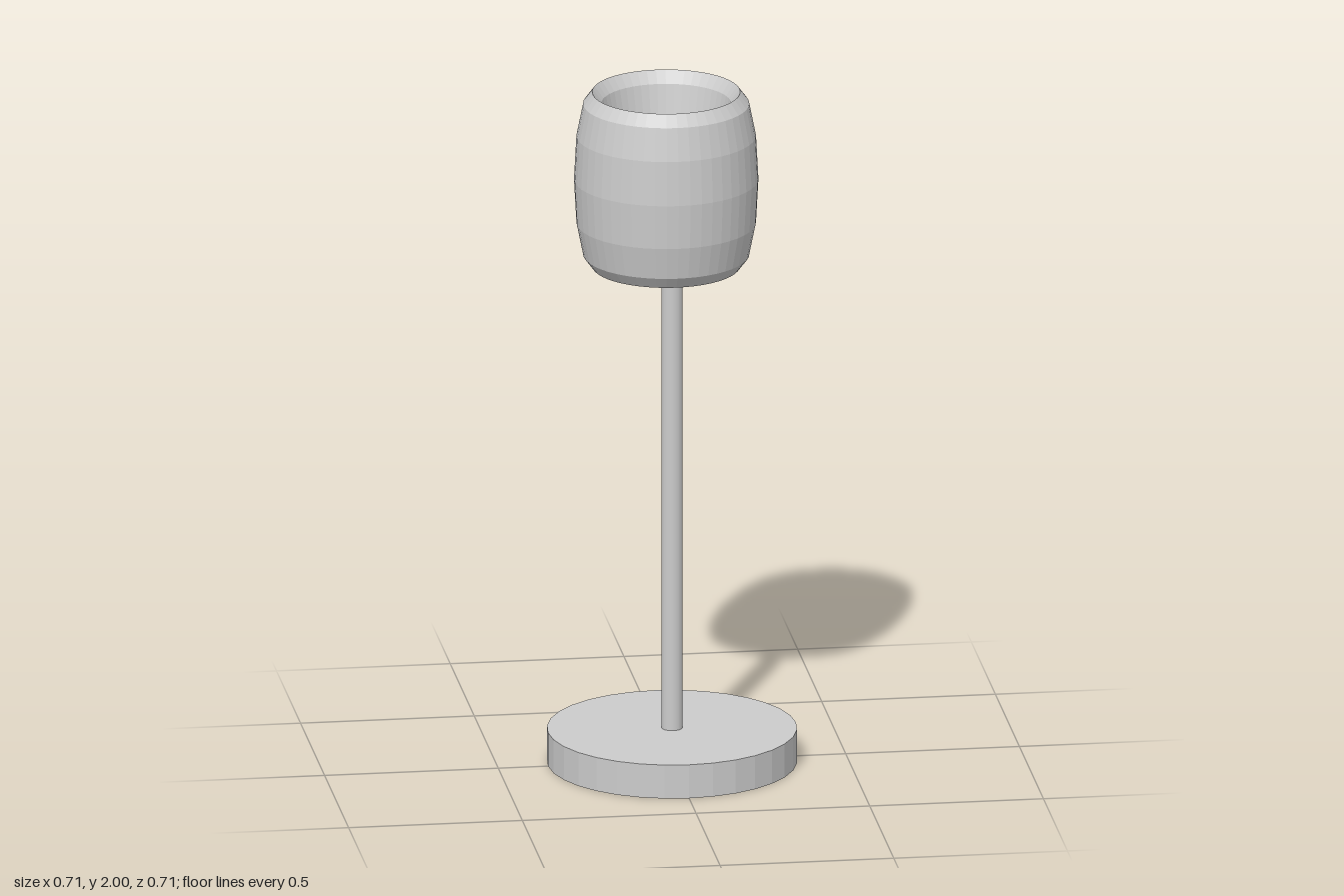
import * as THREE from 'three';

export function createModel() {
  const group = new THREE.Group();
  group.name = 'tableLamp';
  const material = new THREE.MeshStandardMaterial({ color: 0xcccccc, flatShading: true });

  const add = (name, geometry, x, y, z) => {
    const mesh = new THREE.Mesh(geometry, material);
    mesh.name = name;
    mesh.position.set(x, y, z);
    group.add(mesh);
  };

  // Round foot, 0.1 high
  add('base', new THREE.CylinderGeometry(0.357, 0.357, 0.1, 32), 0, 0.05, 0);

  // Slim pole that ends inside the shade
  const poleBottom = 0.09, poleTop = 1.74;
  add('pole', new THREE.CylinderGeometry(0.03, 0.03, poleTop - poleBottom, 32),
    0, (poleBottom + poleTop) / 2, 0);

  // Shade: a ring stretched along its axis, open through the middle, set slightly off centre
  const tube = 0.052;
  const shade = new THREE.TorusGeometry(0.211, tube, 12, 48);
  shade.rotateX(-Math.PI / 2);
  shade.scale(1, 0.26 / tube, 1);
  add('shade', shade, -0.016, 1.74, -0.005);

  return group;
}
